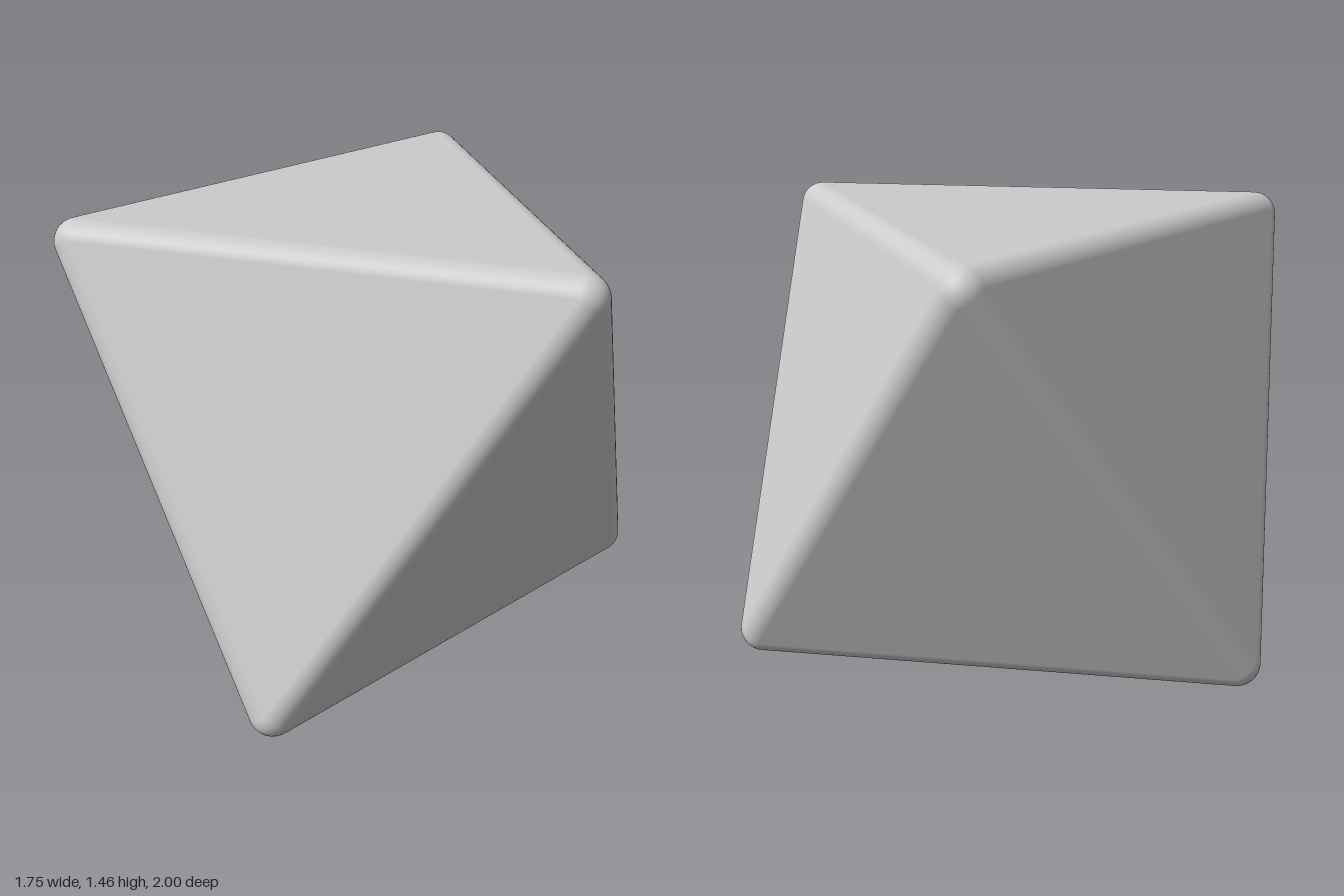
import * as THREE from 'three';

const CORE = 1.129;   // centre to corner of the sharp inner octahedron
const R = 0.078;      // rounding radius
const N = 10;         // segments across each rounding
const HEIGHT = 1.46;

// Point on the rounded solid: an inner corner pushed out along a normal
const offset = (corner, normal) => corner.clone().multiplyScalar(CORE).addScaledVector(normal, R);

// Collects triangles of [corner, normal] pairs, wound to face outward
function surface(triangles) {
  const pos = [], nor = [];
  for (const tri of triangles) {
    let pts = tri.map(([c, n]) => ({ p: offset(c, n), n }));
    const u = pts[1].p.clone().sub(pts[0].p);
    const v = pts[2].p.clone().sub(pts[0].p);
    if (u.cross(v).dot(pts[0].n) < 0) pts = pts.reverse();
    for (const { p, n } of pts) {
      pos.push(p.x, p.y, p.z);
      nor.push(n.x, n.y, n.z);
    }
  }
  const g = new THREE.BufferGeometry();
  g.setAttribute('position', new THREE.Float32BufferAttribute(pos, 3));
  g.setAttribute('normal', new THREE.Float32BufferAttribute(nor, 3));
  return g;
}

const axis = (i, s) => new THREE.Vector3().setComponent(i, s);

// Six spherical caps: each side of a box bulged into a sphere patch and moved to its corner
function cornerCaps() {
  const g = new THREE.BoxGeometry(2, 2, 2, N, N, N);
  const pos = g.attributes.position, nor = g.attributes.normal;
  const corner = new THREE.Vector3(), dir = new THREE.Vector3();
  for (let i = 0; i < pos.count; i++) {
    corner.fromBufferAttribute(nor, i);
    dir.fromBufferAttribute(pos, i).normalize();
    const p = offset(corner, dir);
    pos.setXYZ(i, p.x, p.y, p.z);
    nor.setXYZ(i, dir.x, dir.y, dir.z);
  }
  g.clearGroups();
  return g;
}

// Twelve rounded edges: strips of cylinder between neighbouring corners
function roundedEdges() {
  const tris = [];
  for (let a = 0; a < 3; a++) {
    const b = (a + 1) % 3, c = (a + 2) % 3;
    for (const sa of [-1, 1]) for (const sb of [-1, 1]) {
      const A = axis(a, sa), B = axis(b, sb);
      const dir = (k) => A.clone().add(B).setComponent(c, -1 + 2 * k / N).normalize();
      for (let k = 0; k < N; k++) {
        const d0 = dir(k), d1 = dir(k + 1);
        tris.push([[A, d0], [B, d0], [B, d1]], [[A, d0], [B, d1], [A, d1]]);
      }
    }
  }
  return surface(tris);
}

// Eight flat triangular faces
function flatFaces() {
  const tris = [];
  for (const x of [-1, 1]) for (const y of [-1, 1]) for (const z of [-1, 1]) {
    const n = new THREE.Vector3(x, y, z).normalize();
    tris.push([[axis(0, x), n], [axis(1, y), n], [axis(2, z), n]]);
  }
  return surface(tris);
}

export function createModel() {
  const model = new THREE.Group();
  model.name = 'eightSidedDie';

  // Lay the solid on a face, with a bottom corner pointing to the front
  const lay = new THREE.Matrix4().makeBasis(
    new THREE.Vector3(-1, 1, 0).normalize(),
    new THREE.Vector3(1, 1, 1).normalize(),
    new THREE.Vector3(1, 1, -2).normalize()
  ).transpose().setPosition(0, HEIGHT / 2, 0);

  const material = new THREE.MeshStandardMaterial({ color: 0xcccccc });
  const parts = { flatFaces: flatFaces(), roundedEdges: roundedEdges(), cornerCaps: cornerCaps() };
  for (const [name, geometry] of Object.entries(parts)) {
    const mesh = new THREE.Mesh(geometry.applyMatrix4(lay), material);
    mesh.name = name;
    model.add(mesh);
  }
  return model;
}
